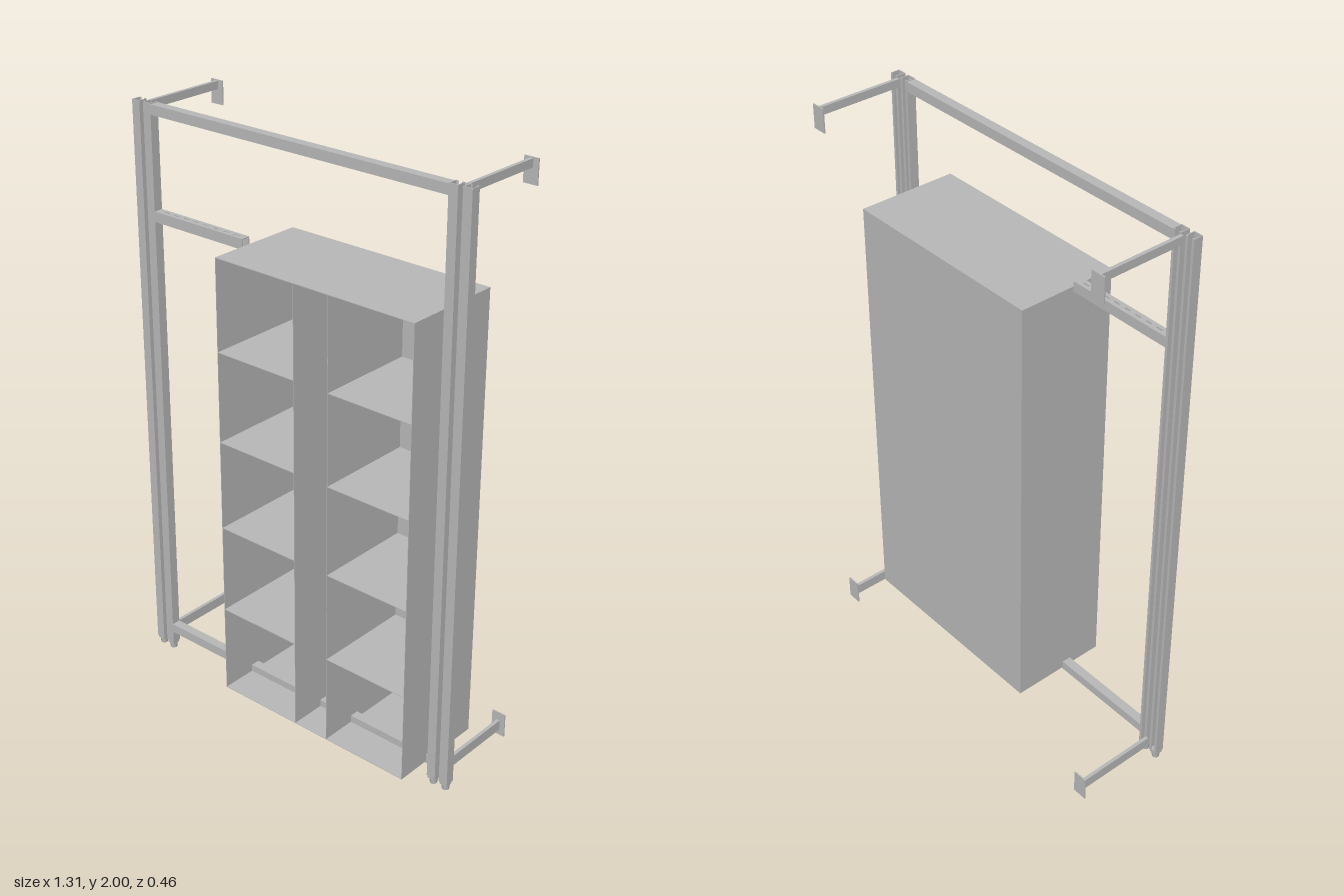
import * as THREE from 'three';

export function createModel() {
  const model = new THREE.Group();
  const grey = new THREE.MeshStandardMaterial({ color: 0xb8b8b8, side: THREE.DoubleSide });
  grey.name = 'plain grey';

  const add = (name, geometry, parent = model) => {
    const mesh = new THREE.Mesh(geometry, grey);
    mesh.name = name;
    parent.add(mesh);
    return mesh;
  };
  // Box given by its minimum and maximum on each axis
  const box = (name, x0, x1, y0, y1, z0, z1, parent) => {
    const geometry = new THREE.BoxGeometry(x1 - x0, y1 - y0, z1 - z0);
    geometry.translate((x0 + x1) / 2, (y0 + y1) / 2, (z0 + z1) / 2);
    return add(name, geometry, parent);
  };
  const group = (name) => {
    const g = new THREE.Group();
    g.name = name;
    model.add(g);
    return g;
  };

  // Lipped channel section, open towards -y of the shape
  const channel = (w, h, t, lip) => {
    const a = w / 2, b = h / 2;
    return new THREE.Shape([
      [-a, b], [-a, -b], [-a + lip, -b], [-a + lip, -b + t], [-a + t, -b + t], [-a + t, b - t],
      [a - t, b - t], [a - t, -b + t], [a - lip, -b + t], [a - lip, -b], [a, -b], [a, b],
    ].map(([x, y]) => new THREE.Vector2(x, y)));
  };
  const extrude = (shape, depth) => new THREE.ExtrudeGeometry(shape, { depth, bevelEnabled: false });

  const Z0 = 0.073, Z1 = 0.105, ZM = (Z0 + Z1) / 2;

  // Paired posts with feet, and wall brackets between each pair
  for (const side of [-1, 1]) {
    const frame = group(side < 0 ? 'rightPosts' : 'leftPosts');
    for (const px of [0.589, 0.637]) {
      const geometry = extrude(channel(0.032, 0.032, 0.003, 0.009), 1.972);
      geometry.rotateX(-Math.PI / 2);   // open side would face +z
      geometry.rotateY(Math.PI);        // turn it to the back
      geometry.translate(side * px, 0.028, ZM);
      add('post', geometry, frame);
      const x = side * px;
      box('footCap', x - 0.0135, x + 0.0135, 0.018, 0.032, ZM - 0.0135, ZM + 0.0135, frame);
      const foot = new THREE.CylinderGeometry(0.014, 0.012, 0.018, 12);
      foot.translate(x, 0.009, ZM);
      add('foot', foot, frame);
    }
    const bx = side * 0.611;
    for (const [a0, a1, p0, p1] of [[1.97, 1.997, 1.92, 2], [0.041, 0.078, 0.022, 0.107]]) {
      box('bracketArm', bx - 0.006, bx + 0.006, a0, a1, -0.228, 0.07, frame);
      box('wallPlate', bx - 0.025, bx + 0.025, p0, p1, -0.231, -0.227, frame);
    }
  }

  // Long rails, open below
  const rail = (name, x0, x1, yc) => {
    const geometry = extrude(channel(0.032, 0.033, 0.003, 0.006), x1 - x0);
    geometry.rotateY(Math.PI / 2);
    geometry.translate(x0, yc, ZM);
    add(name, geometry);
  };
  rail('topRail', -0.574, 0.574, 1.981);
  rail('bottomRail', -0.574, 0.574, 0.09);

  // Short slotted rail beside the cabinet
  const short = group('slottedRail');
  const X0 = -0.574, X1 = -0.195;
  const web = new THREE.Shape([[X0, -Z1], [X1, -Z1], [X1, -Z0], [X0, -Z0]]
    .map(([x, y]) => new THREE.Vector2(x, y)));
  for (let i = 0; i < 8; i++) {
    const x = X0 + 0.03 + i * 0.043;
    web.holes.push(new THREE.Path([[x, -ZM - 0.003], [x, -ZM + 0.003], [x + 0.022, -ZM + 0.003], [x + 0.022, -ZM - 0.003]]
      .map(([u, v]) => new THREE.Vector2(u, v))));
  }
  const webGeometry = extrude(web, 0.003);
  webGeometry.rotateX(-Math.PI / 2);
  webGeometry.translate(0, 1.649, 0);
  add('slottedTop', webGeometry, short);
  box('railFront', X0, X1, 1.617, 1.649, Z1 - 0.003, Z1, short);
  box('railBack', X0, X1, 1.617, 1.649, Z0, Z0 + 0.003, short);

  // Cabinet with thin panels, open at the front
  const cabinet = group('cabinet');
  const L = -0.19, R = 0.568, B = 0.08, T = 1.63, BK = -0.12, F = 0.229, t = 0.002;
  box('cabinetBack', L, R, B, T, BK, BK + t, cabinet);
  box('cabinetTop', L, R, T - t, T, BK, F, cabinet);
  box('cabinetBottom', L, R, B, B + t, BK, F, cabinet);
  box('cabinetRightWall', L, L + t, B, T, BK, F, cabinet);
  box('cabinetLeftWall', R - t, R, B, T, BK, F, cabinet);
  const D1 = 0.122, D2 = 0.255;
  for (const x of [D1, D2]) box('divider', x - t / 2, x + t / 2, B + t, T - t, BK + t, F, cabinet);
  for (let i = 1; i < 5; i++) {
    const y = B + (T - B) * i / 5;
    box('shelf', L + t, D1 - t / 2, y - t / 2, y + t / 2, BK + t, F, cabinet);
    box('shelf', D2 + t / 2, R - t, y - t / 2, y + t / 2, BK + t, F, cabinet);
  }
  return model;
}
